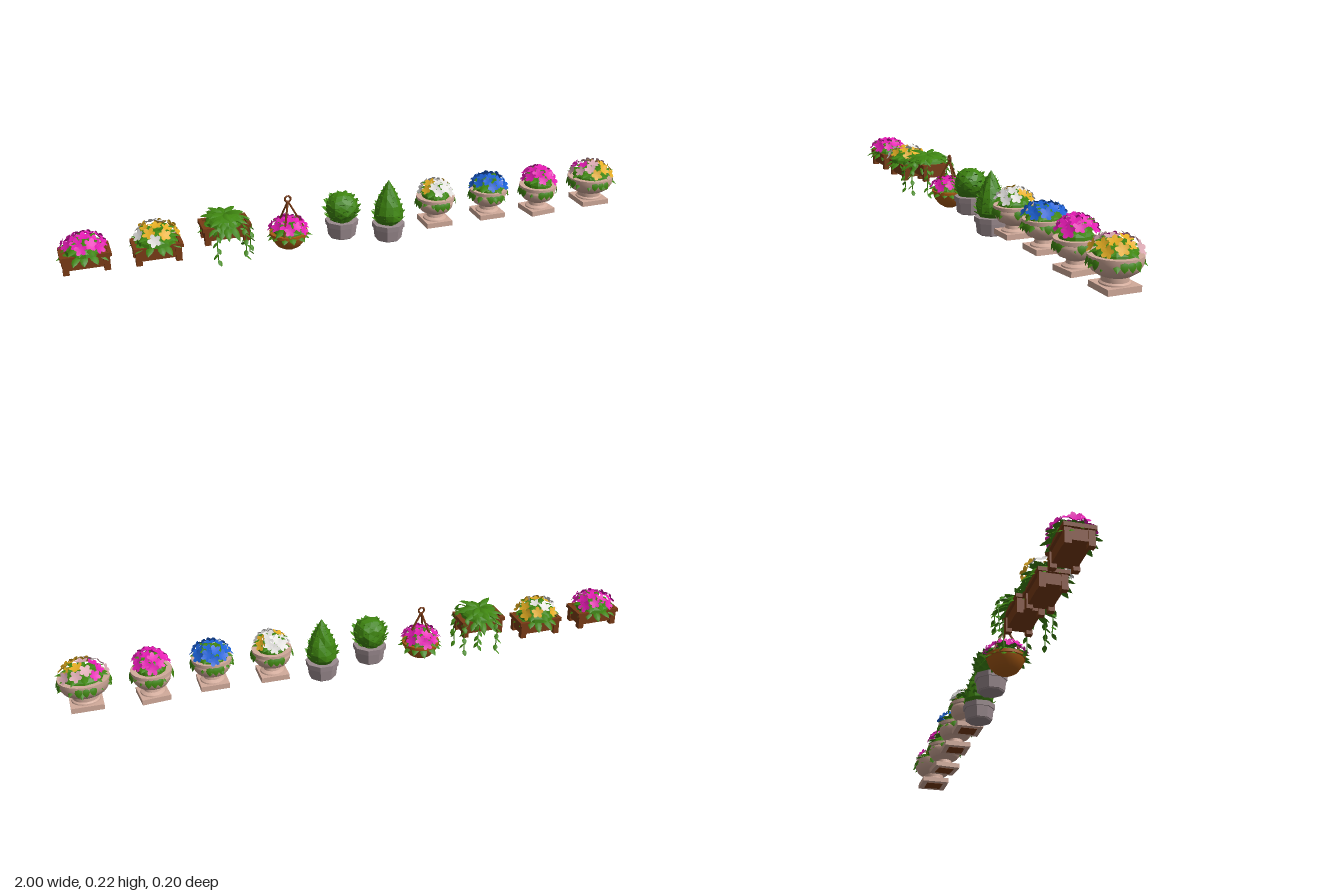
import * as THREE from 'three';
import { mergeGeometries, toCreasedNormals } from 'three/addons/utils/BufferGeometryUtils.js';

const mat = (name, color, side = THREE.FrontSide) => {
  const m = new THREE.MeshStandardMaterial({ color, side });
  m.name = name;
  return m;
};

export function createModel() {
  const DS = THREE.DoubleSide;
  const M = {
    wood: mat('wood', 0x7a3c16), basket: mat('basket', 0xa85a14),
    stone: mat('stone', 0xd2ab9b), grey: mat('greyStone', 0x9a8a8e),
    leaf: mat('leaf', 0x3f8610, DS), magenta: mat('magenta', 0xe61ab4, DS),
    blue: mat('blue', 0x1c62d8, DS), yellow: mat('yellow', 0xe6ae22, DS),
    white: mat('white', 0xe4e2e0, DS), pink: mat('palePink', 0xdcaab4, DS),
  };
  const root = new THREE.Group();
  root.name = 'planterRow';
  let seed = 7;
  const rnd = () => (seed = (seed * 16807) % 2147483647) / 2147483647;
  const jit = (a) => (rnd() - 0.5) * 2 * a;

  const add = (parent, name, geo, material, x = 0, y = 0, z = 0) => {
    const m = new THREE.Mesh(geo, material);
    m.name = name;
    m.position.set(x, y, z);
    parent.add(m);
    return m;
  };
  const planter = (name, x) => {
    const g = new THREE.Group();
    g.name = name;
    g.position.x = x;
    root.add(g);
    return g;
  };
  const flat = (geo) => {
    const g = geo.index ? geo.toNonIndexed() : geo;
    g.computeVertexNormals();
    return g;
  };
  const warp = (geo, rule) => {
    const p = geo.attributes.position, v = new THREE.Vector3();
    for (let i = 0; i < p.count; i++) {
      rule(v.fromBufferAttribute(p, i));
      p.setXYZ(i, v.x, v.y, v.z);
    }
    return geo;
  };
  const lathe = (pts, n = 20) => toCreasedNormals(
    new THREE.LatheGeometry(pts.map(([r, y]) => new THREE.Vector2(r, y)), n), 0.6);

  // Pointed leaf along +z with a centre fold and drooping tip
  const leafGeo = warp(new THREE.PlaneGeometry(1, 1, 2, 4), (v) => {
    const t = v.y + 0.5, x = v.x * (0.08 + 0.42 * Math.sin(Math.PI * Math.pow(t, 0.8))) * (t > 0.99 ? 0 : 1) * 2;
    v.set(-x, 0.3 * t - 0.55 * t * t - Math.abs(x) * 0.25, t);
  });
  leafGeo.computeVertexNormals();
  // Five-petalled shallow flower facing +y
  const flowerGeo = warp(new THREE.CircleGeometry(1, 20), (v) => {
    const r = Math.hypot(v.x, v.y), k = Math.abs(Math.cos(2.5 * Math.atan2(v.y, v.x)));
    v.set(v.x * (0.6 + 0.4 * k), r * (0.1 + 0.15 * k), -v.y * (0.6 + 0.4 * k));
  });
  flowerGeo.computeVertexNormals();

  const dummy = new THREE.Object3D();
  const leafAt = (x, y, z, yaw, tilt, len, wid) => {
    dummy.position.set(x, y, z);
    dummy.rotation.set(tilt, yaw, 0, 'YXZ');
    dummy.scale.set(wid, len, len);
    dummy.updateMatrix();
    return leafGeo.clone().applyMatrix4(dummy.matrix);
  };
  const UP = new THREE.Vector3(0, 1, 0);
  const flowerAt = (pos, n, size) => {
    dummy.position.copy(pos);
    dummy.quaternion.setFromUnitVectors(UP, n);
    dummy.rotateY(rnd() * 6);
    dummy.scale.setScalar(size);
    dummy.updateMatrix();
    return flowerGeo.clone().applyMatrix4(dummy.matrix);
  };

  // Leafy mound with flowers scattered over a dome
  const bouquet = (g, { rx, rz, y, h, colors = [], n = 17, size = 0.021, len = 0.05, droop = 0.25 }) => {
    const mound = new THREE.SphereGeometry(1, 12, 5, 0, Math.PI * 2, 0, Math.PI / 2);
    add(g, 'mound', flat(mound.scale(rx * 0.72, h * 0.65, rz * 0.72)), M.leaf, 0, y);
    const leaves = [];
    [[13, 1, 0.1, droop], [11, 0.85, 0.45, 0], [8, 0.6, 0.7, -0.25]].forEach(([count, reach, up, tilt], ring) => {
      for (let i = 0; i < count; i++) {
        const a = (i + ring * 0.5) / count * Math.PI * 2 + jit(0.12);
        const px = Math.sin(a) * Math.max(0.005, rx * reach - len * 0.85);
        const pz = Math.cos(a) * Math.max(0.005, rz * reach - len * 0.85);
        leaves.push(leafAt(px, y + h * up, pz, a, tilt + jit(0.15), len * (0.95 + jit(0.12)), 0.026));
      }
    });
    add(g, 'leaves', mergeGeometries(leaves), M.leaf);
    const byColor = {};
    for (let i = 0; colors.length && i < n; i++) {
      const a = i * 2.39996, t = Math.sqrt((i + 0.4) / n), polar = t * 1.15;
      const nrm = new THREE.Vector3(Math.sin(a) * Math.sin(polar), Math.cos(polar), Math.cos(a) * Math.sin(polar));
      const pos = new THREE.Vector3(nrm.x * rx * 0.88, y + h * (0.12 + 0.84 * nrm.y) + jit(0.003), nrm.z * rz * 0.88);
      (byColor[colors[i % colors.length]] ??= []).push(flowerAt(pos, nrm, size * (1 + jit(0.12))));
    }
    for (const c in byColor) add(g, c + 'Flowers', mergeGeometries(byColor[c]), M[c]);
  };

  // Wooden trough on four corner feet
  const trough = (g, b) => {
    add(g, 'troughBody', new THREE.BoxGeometry(0.142, 0.042, 0.076), M.wood, 0, b + 0.034);
    for (const s of [-1, 1]) {
      add(g, 'rimLong', new THREE.BoxGeometry(0.16, 0.013, 0.012), M.wood, 0, b + 0.055, s * 0.041);
      add(g, 'rimShort', new THREE.BoxGeometry(0.012, 0.013, 0.082), M.wood, s * 0.074, b + 0.055);
      for (const t of [-1, 1])
        add(g, 'foot', new THREE.BoxGeometry(0.02, 0.05, 0.02), M.wood, s * 0.064, b + 0.025, t * 0.033);
    }
  };

  const trough1 = planter('magentaTrough', -0.913);
  trough(trough1, 0.05);
  bouquet(trough1, { rx: 0.085, rz: 0.08, y: 0.107, h: 0.055, colors: ['magenta'] });
  const trough2 = planter('yellowTrough', -0.685);
  trough(trough2, 0.047);
  bouquet(trough2, { rx: 0.088, rz: 0.085, y: 0.107, h: 0.062, colors: ['yellow', 'white', 'yellow'], n: 15 });

  // Trough of ferns with trailing vines
  const fern = planter('fernTrough', -0.46);
  trough(fern, 0.085);
  bouquet(fern, { rx: 0.088, rz: 0.097, y: 0.145, h: 0.045, len: 0.065, droop: 0.35 });
  const vineLeaves = [];
  [[-0.04, 0.075, 0.045], [0.05, 0.08, 0.05], [0.075, 0.03, 0.04], [0.07, -0.045, 0.04],
    [-0.03, -0.085, 0.045], [0.035, -0.08, 0.07]].forEach(([x, z, low]) => {
    const curve = new THREE.CatmullRomCurve3([
      new THREE.Vector3(x * 0.4, 0.16, z * 0.4), new THREE.Vector3(x * 0.9, 0.158, z * 0.9),
      new THREE.Vector3(x * 1.05, 0.11, z * 1.05), new THREE.Vector3(x, low, z)]);
    add(fern, 'vine', new THREE.TubeGeometry(curve, 10, 0.0018, 5), M.leaf);
    for (let i = 3; i <= 9; i++) {
      const p = curve.getPoint(i / 9), a = Math.atan2(x, z) + (i % 2 ? 1 : -1) * 0.9;
      vineLeaves.push(leafAt(p.x, p.y, p.z, a, 0.6, 0.024, 0.016));
    }
  });
  add(fern, 'vineLeaves', mergeGeometries(vineLeaves), M.leaf);

  // Hanging basket with three ropes and a ring
  const hanging = planter('hangingBasket', -0.243);
  add(hanging, 'basketBowl', lathe([[0, 0.015], [0.02, 0.018], [0.04, 0.03], [0.055, 0.05], [0.061, 0.068],
    [0.065, 0.07], [0.065, 0.08], [0.055, 0.08], [0, 0.078]]), M.basket);
  bouquet(hanging, { rx: 0.075, rz: 0.083, y: 0.075, h: 0.048, colors: ['magenta'], n: 18 });
  for (let i = 0; i < 3; i++) {
    const a = i / 3 * Math.PI * 2 + Math.PI / 2;
    const rope = new THREE.LineCurve3(new THREE.Vector3(Math.sin(a) * 0.058, 0.078, Math.cos(a) * 0.058),
      new THREE.Vector3(0, 0.187, 0));
    add(hanging, 'rope', new THREE.TubeGeometry(rope, 1, 0.0035, 6), M.wood);
  }
  add(hanging, 'ring', new THREE.TorusGeometry(0.01, 0.0035, 6, 14), M.wood, 0, 0.195);

  // Faceted stone pots
  const pot = (g, b) => {
    const tier = (name, rt, rb, h, y) => add(g, name,
      flat(new THREE.CylinderGeometry(rt, rb, h, 8).rotateY(Math.PI / 8)), M.grey, 0, b + y);
    tier('potBody', 0.052, 0.047, 0.04, 0.024);
    tier('potFoot', 0.047, 0.042, 0.008, 0.004);
    tier('potRim', 0.057, 0.056, 0.018, 0.052);
  };
  const bump = (v) => 1 + 0.08 * Math.sin(v.x * 190 + v.y * 130) * Math.cos(v.z * 170 - v.y * 90);
  const scales = (g, n, surface) => {
    const list = [];
    for (let i = 0; i < n; i++) {
      const a = i * 2.39996, [r, y] = surface((i + 0.5) / n);
      list.push(leafAt(Math.sin(a) * r, y, Math.cos(a) * r, a + jit(0.3), -0.9, 0.022, 0.02));
    }
    add(g, 'clippedLeaves', mergeGeometries(list), M.leaf);
  };

  const ball = planter('ballTopiary', -0.055);
  pot(ball, 0.035);
  add(ball, 'ballCrown', flat(warp(new THREE.IcosahedronGeometry(0.055, 2),
    (v) => v.multiplyScalar(bump(v)))), M.leaf, 0, 0.138);
  scales(ball, 60, (t) => [0.05 * Math.sqrt(1 - (2 * t - 1) ** 2), 0.13 + 0.048 * (2 * t - 1)]);

  const cone = planter('coneTopiary', 0.115);
  pot(cone, 0);
  const coneProfile = [[0, 0.058], [0.036, 0.06], [0.05, 0.078], [0.051, 0.1], [0.043, 0.13], [0.031, 0.16],
    [0.016, 0.19], [0.0, 0.217]];
  add(cone, 'coneCrown', flat(warp(new THREE.LatheGeometry(
    coneProfile.map(([r, y]) => new THREE.Vector2(r, y)), 12), (v) => {
    const k = bump(v);
    v.x *= k; v.z *= k;
  })), M.leaf);
  scales(cone, 60, (t) => [0.045 * (1 - t ** 1.5), 0.07 + 0.115 * t]);

  // Stone urns on square plinths
  const urn = (g, b, pts, sx, sz, plinth, turn) => {
    add(g, 'urnBowl', lathe(pts.map(([r, y]) => [r, b + y])), M.stone).scale.set(sx, 1, sz);
    add(g, 'plinth', new THREE.BoxGeometry(plinth, 0.018, plinth), M.stone, 0, b + 0.009).rotation.y = turn;
    add(g, 'plinthUnderside', new THREE.BoxGeometry(plinth * 0.62, 0.003, plinth * 0.62), M.wood, 0, b)
      .rotation.y = turn;
  };
  const tall = [[0.042, 0.016], [0.04, 0.022], [0.029, 0.028], [0.027, 0.038], [0.034, 0.044], [0.05, 0.05],
    [0.06, 0.064], [0.063, 0.08], [0.06, 0.088], [0.067, 0.09], [0.067, 0.102], [0.055, 0.102], [0, 0.096]];
  const wide = [[0.044, 0.016], [0.043, 0.022], [0.038, 0.026], [0.038, 0.04], [0.048, 0.044], [0.065, 0.056],
    [0.074, 0.072], [0.077, 0.088], [0.077, 0.1], [0.066, 0.1], [0, 0.096]];

  [['whiteUrn', 0.29, 0.035, 0.068, ['white', 'white', 'yellow', 'white'], 0.06],
    ['blueUrn', 0.493, 0.037, 0.076, ['blue'], 0.05],
    ['magentaUrn', 0.691, 0.025, 0.069, ['magenta'], 0.07]].forEach(([name, x, b, r, colors, h], i) => {
    const g = planter(name, x);
    urn(g, b, tall, 1, 1, 0.095, [0, 0, 0.1][i]);
    bouquet(g, { rx: r, rz: r + 0.005, y: b + 0.097, h, colors, n: 18, droop: 0.4 });
  });

  const wideUrn = planter('wideMixedUrn', 0.905);
  urn(wideUrn, 0.035, wide, 1.08, 1, 0.105, 0);
  bouquet(wideUrn, { rx: 0.092, rz: 0.088, y: 0.13, h: 0.052, len: 0.055, droop: 0.4,
    colors: ['pink', 'yellow', 'magenta', 'yellow', 'pink'], n: 17 });
  // Broad leaves hanging over the urn rims
  for (const g of root.children.slice(-4)) {
    const over = [], big = g === wideUrn, y = { blueUrn: 0.135, magentaUrn: 0.124 }[g.name] ?? 0.134;
    for (let i = 0; i < 12; i++) {
      const a = Math.floor(i / 3) * Math.PI / 2 + (i % 3 - 1) * 0.28;
      over.push(leafAt(Math.sin(a) * (big ? 0.08 : 0.064), y, Math.cos(a) * (big ? 0.074 : 0.064), a, 1.1, 0.032, 0.024));
    }
    add(g, 'hangingLeaves', mergeGeometries(over), M.leaf);
  }
  return root;
}
